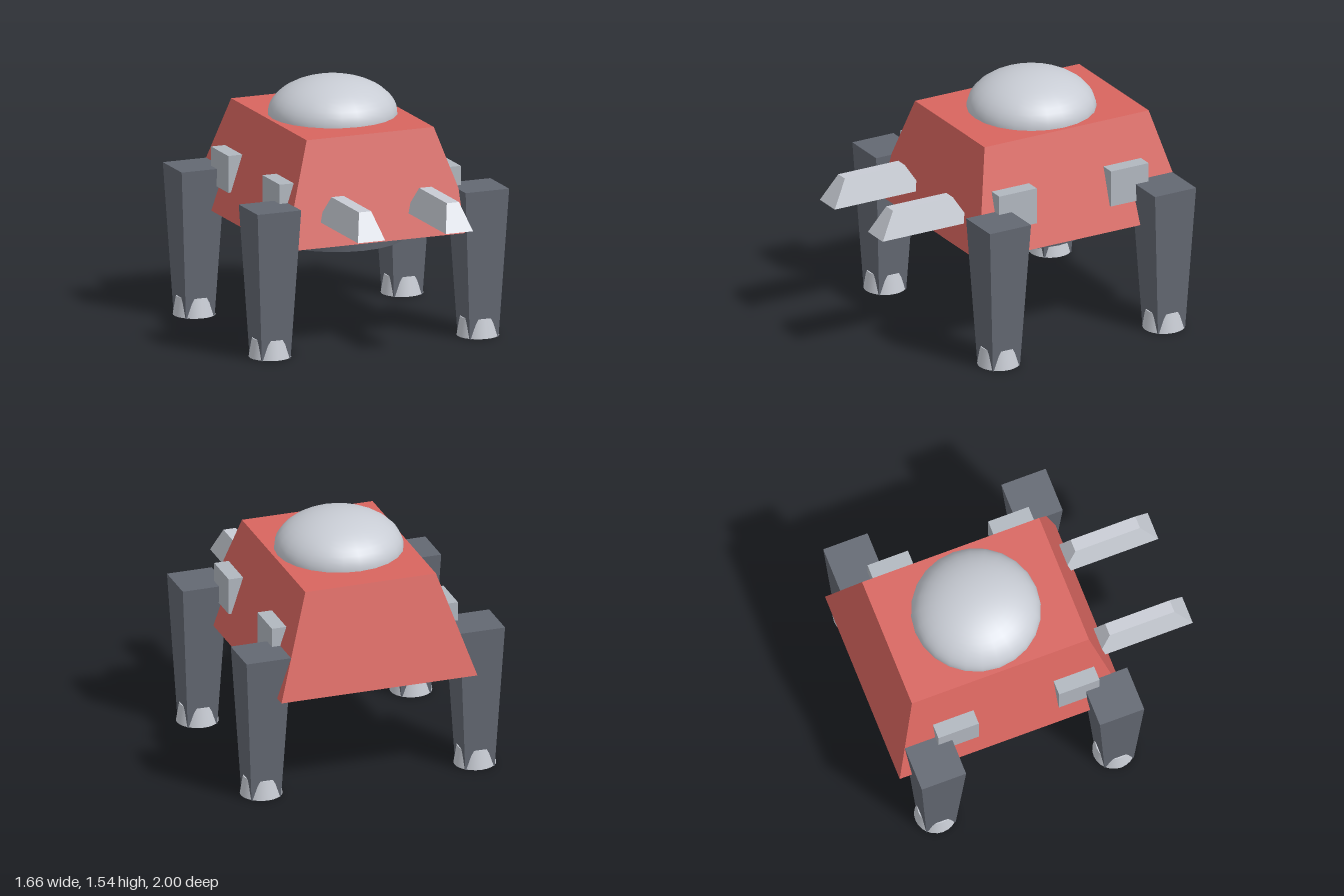
import * as THREE from 'three';

const paint = (name, color) => {
  const m = new THREE.MeshStandardMaterial({ color });
  m.name = name;
  return m;
};

// Box whose top has its own width and depth, standing on y = 0
function frustum(w0, d0, w1, d1, h) {
  const g = new THREE.BoxGeometry(1, h, 1).toNonIndexed();
  g.translate(0, h / 2, 0);
  const p = g.attributes.position;
  for (let i = 0; i < p.count; i++) {
    const top = p.getY(i) > h / 2;
    p.setX(i, p.getX(i) * (top ? w1 : w0));
    p.setZ(i, p.getZ(i) * (top ? d1 : d0));
  }
  g.computeVertexNormals();
  return g;
}

export function createModel() {
  const red = paint('red hull', 0xd8655f);
  const dark = paint('dark grey', 0x636872);
  const light = paint('light grey', 0xc8ccd4);
  const mid = paint('mid grey', 0xb1b7bf);

  const model = new THREE.Group();
  model.name = 'walker';
  const add = (name, geometry, material, x, y, z, parent = model) => {
    const mesh = new THREE.Mesh(geometry, material);
    mesh.name = name;
    mesh.position.set(x, y, z);
    parent.add(mesh);
    return mesh;
  };

  // Tapered hull with a dome on top and a drum beneath
  add('hull', frustum(1.26, 1.47, 0.84, 1.15, 0.64), red, 0, 0.67, -0.265);
  const dome = new THREE.SphereGeometry(0.395, 24, 12, 0, Math.PI * 2, 0, Math.PI / 2);
  dome.scale(1, 0.23 / 0.395, 1);
  add('dome', dome, light, 0, 1.31, -0.262);
  add('bellyDrum', new THREE.CylinderGeometry(0.445, 0.42, 0.135, 24), dark, 0, 0.6225, -0.21);

  const legShape = frustum(0.19, 0.19, 0.288, 0.288, 0.93);
  const footShape = new THREE.CylinderGeometry(0.11, 0.13, 0.119, 24);
  const gunShape = frustum(0.18, 0.62, 0.08, 0.42, 0.165);
  const blockShape = new THREE.BoxGeometry(0.2, 0.23, 0.263);

  for (const side of [1, -1]) {
    const s = side > 0 ? 'left' : 'right';
    // Forward guns
    add(s + 'Gun', gunShape, light, side * 0.29, 0.82, 0.69);
    for (const [end, legZ, blockZ] of [['Front', 0.367, 0.179], ['Rear', -0.79, -0.605]]) {
      // Leg with a round foot
      const leg = new THREE.Group();
      leg.name = s + end + 'Leg';
      leg.position.set(side * 0.687, 0, legZ);
      model.add(leg);
      add('legColumn', legShape, dark, 0, 0, 0, leg);
      add('foot', footShape, light, 0, 0.0615, 0, leg);
      // Block on the hull side
      add(s + end + 'SideBlock', blockShape, mid, side * 0.498, 0.935, blockZ);
    }
  }
  return model;
}
